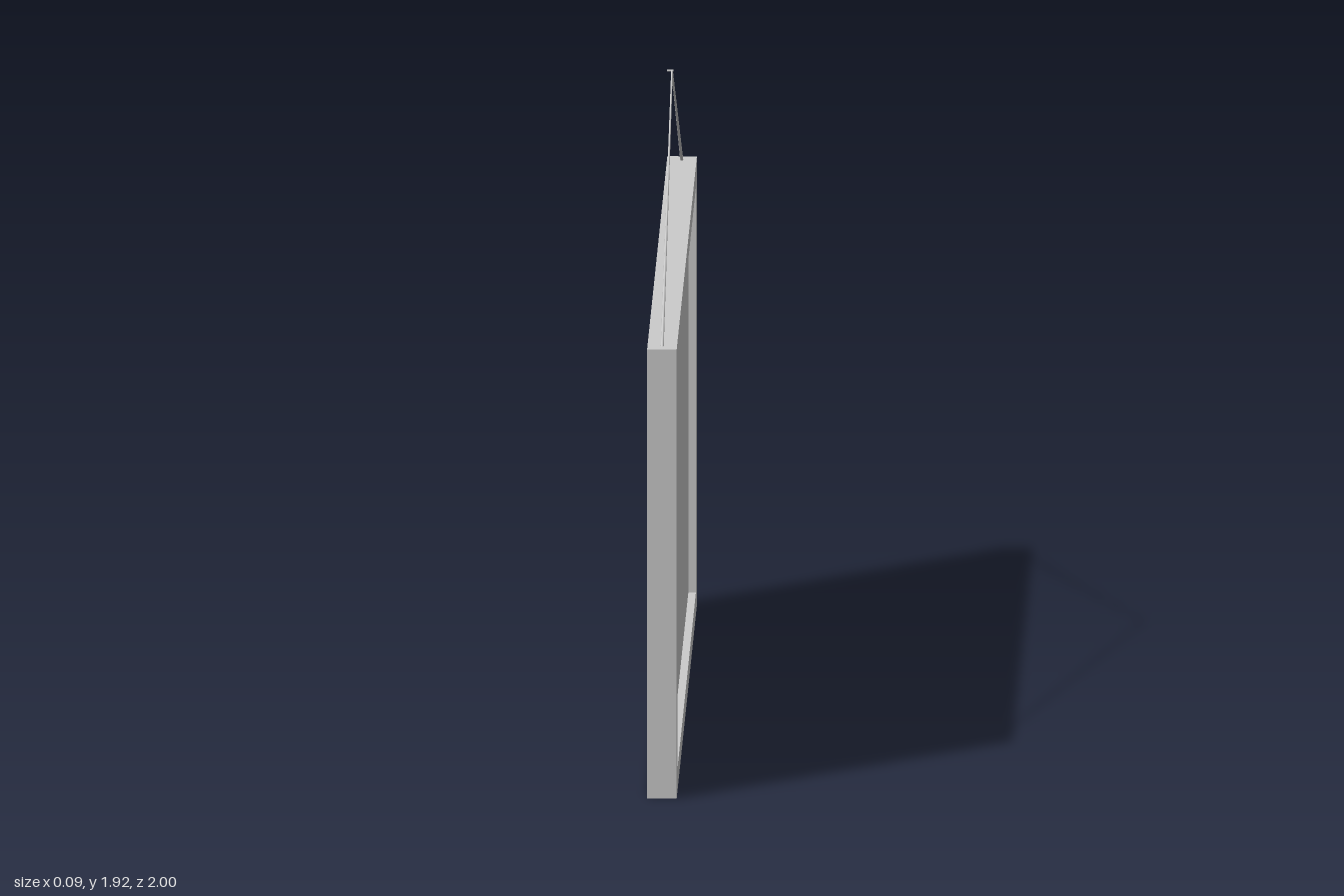
import * as THREE from 'three';

const grey = new THREE.MeshStandardMaterial({ color: 0xcccccc });
const WIDTH = 2, HEIGHT = 1.36, DEPTH = 0.086, RECESS = 0.022;

function rectangle(Type, x0, y0, x1, y1) {
  return new Type([[x0, y0], [x1, y0], [x1, y1], [x0, y1]].map(([x, y]) => new THREE.Vector2(x, y)));
}

function addMesh(parent, name, geometry) {
  const mesh = new THREE.Mesh(geometry, grey);
  mesh.name = name;
  parent.add(mesh);
  return mesh;
}

// thin tapered rod between two points
function addRod(parent, name, from, to, r0, r1) {
  const dir = to.clone().sub(from);
  const rod = addMesh(parent, name, new THREE.CylinderGeometry(r1, r0, dir.length(), 8));
  rod.position.copy(from).add(to).multiplyScalar(0.5);
  rod.quaternion.setFromUnitVectors(new THREE.Vector3(0, 1, 0), dir.normalize());
  return rod;
}

export function createModel() {
  const group = new THREE.Group();
  group.name = 'hangingPicture';

  // raised border around the recessed face, facing +x
  const outline = rectangle(THREE.Shape, -WIDTH / 2, 0, WIDTH / 2, HEIGHT);
  outline.holes.push(rectangle(THREE.Path, -0.9, 0.068, 0.9, 1.295));
  const border = new THREE.ExtrudeGeometry(outline, { depth: DEPTH, bevelEnabled: false });
  border.rotateY(Math.PI / 2).translate(-DEPTH / 2, 0, 0);
  addMesh(group, 'frame', border);

  // panel filling the opening, flush with the plain back
  const panel = addMesh(group, 'picturePanel', new THREE.BoxGeometry(DEPTH - RECESS, 1.227, 1.8));
  panel.position.set(-RECESS / 2, 0.068 + 1.227 / 2, 0);

  // hanging cord, one strand to each top corner
  const apex = new THREE.Vector3(0, 1.913, 0);
  for (const side of [1, -1]) {
    const corner = new THREE.Vector3(0, HEIGHT - 0.005, side * 0.972);
    addRod(group, side > 0 ? 'frontCord' : 'backCord', corner, apex, 0.0045, 0.0025);
  }

  // small nail the cord hangs from
  addRod(group, 'nail', new THREE.Vector3(-0.014, 1.912, 0), new THREE.Vector3(0.005, 1.912, 0), 0.003, 0.003);

  return group;
}
